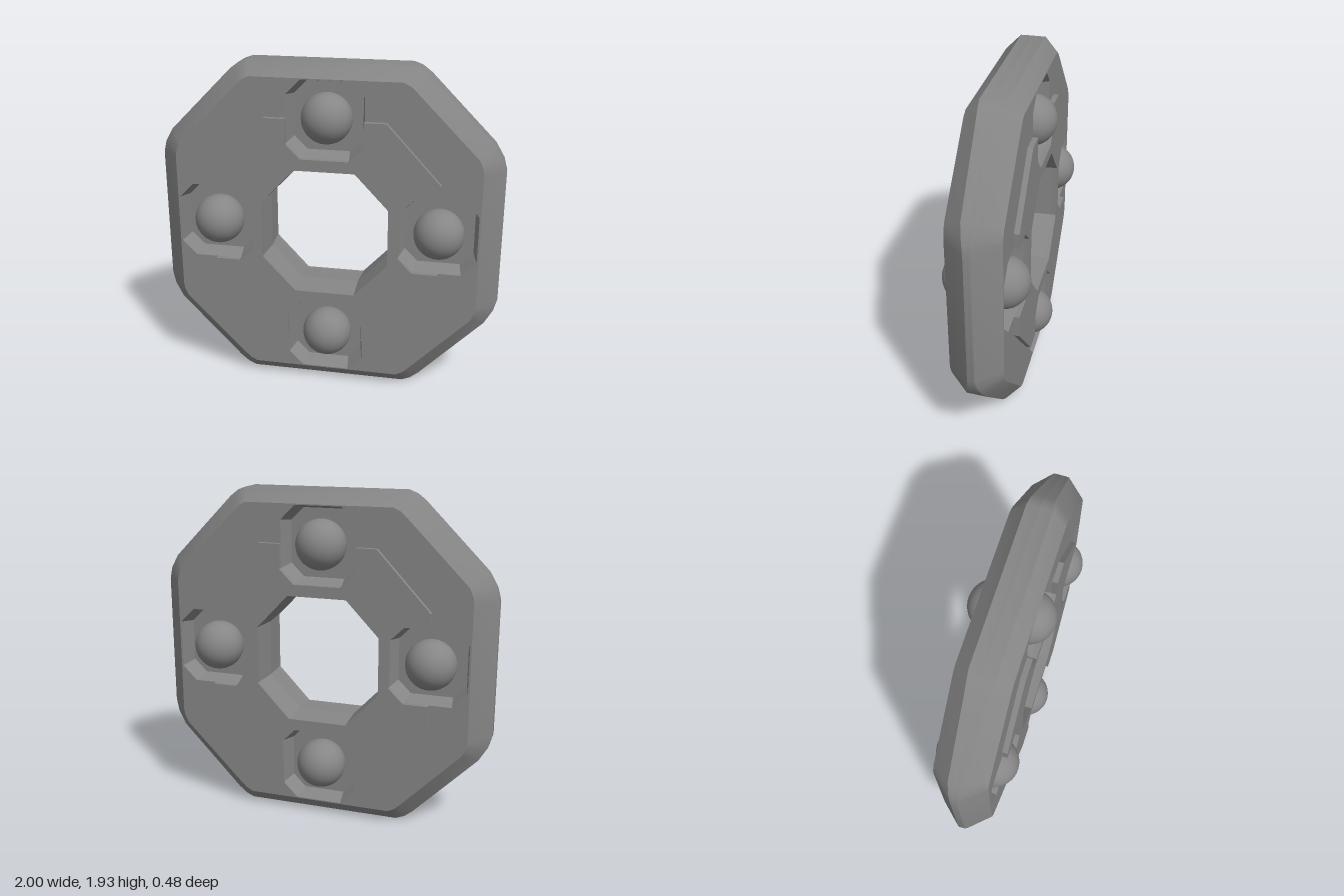
import * as THREE from 'three';
import { toCreasedNormals } from 'three/addons/utils/BufferGeometryUtils.js';

const material = new THREE.MeshStandardMaterial({ color: 0x868686 });

// Mirror the points of one quadrant (from +x round to +y) into a full loop
function mirrorQuadrant(q) {
  const r = [...q].reverse();
  return [
    ...q,
    ...r.map(([x, y, z]) => [-x, y, z]),
    ...q.map(([x, y, z]) => [-x, -y, z]),
    ...r.map(([x, y, z]) => [x, -y, z]),
  ];
}

const atZ = (loop, z) => loop.map(([x, y]) => [x, y, z]);
const octagon = (half, cut, cx, cy) =>
  mirrorQuadrant([[half, half - cut], [half - cut, half]]).map(([x, y]) => [x + cx, y + cy]);

// Join successive loops, listed from front to back; inward walls face the axis
function loft(loops, inward = false) {
  const pos = [];
  for (let k = 0; k + 1 < loops.length; k++) {
    const a = loops[k], b = loops[k + 1];
    for (let i = 0; i < a.length; i++) {
      const j = (i + 1) % a.length;
      const quad = [b[i], b[j], a[j], b[i], a[j], a[i]];
      if (inward) quad.reverse();
      quad.forEach((p) => pos.push(...p));
    }
  }
  const g = new THREE.BufferGeometry();
  g.setAttribute('position', new THREE.Float32BufferAttribute(pos, 3));
  g.computeVertexNormals();
  return g;
}

function makeShape(loop, holes = []) {
  const vec = (l) => l.map(([x, y]) => new THREE.Vector2(x, y));
  const s = new THREE.Shape(vec(loop));
  holes.forEach((h) => s.holes.push(new THREE.Path(vec(h))));
  return s;
}

function addMesh(parent, name, geometry) {
  const m = new THREE.Mesh(geometry, material);
  m.name = name;
  parent.add(m);
  return m;
}

const SIDE_SHIFT = 0.02; // side sockets sit slightly above the middle
const SOCKETS = [[0.648, SIDE_SHIFT], [0, 0.66], [-0.648, SIDE_SHIFT], [0, -0.66]];
const FACE_Z = 0.15, FLOOR_Z = 0.04;

function buildHalf() {
  const half = new THREE.Group();

  // Outlines: widest rim, edge of the flat face, and the central opening
  const rim = mirrorQuadrant([
    [1, 0.39, 0.02], [0.98, 0.46, 0.03], [0.93, 0.54, 0.045], [0.56, 0.91, 0.06],
    [0.51, 0.947, 0.065], [0.46, 0.965, 0.07],
  ]);
  const face = mirrorQuadrant([
    [0.88, 0.4], [0.876, 0.43], [0.855, 0.48], [0.5, 0.84], [0.47, 0.868], [0.43, 0.888],
  ]);
  const opening = mirrorQuadrant([[0.355, 0.165], [0.17, 0.36]]);
  const openingEdge = mirrorQuadrant([[0.367, 0.168], [0.174, 0.371]]);
  const sockets = SOCKETS.map(([x, y]) => octagon(0.222, 0.085, x, y));

  // Outer rim with its bevel, softened round the corners
  addMesh(half, 'outerRim', toCreasedNormals(loft([atZ(face, FACE_Z), rim, atZ(rim, 0)]), 0.6));

  // Flat face pierced by the opening and sockets
  const faceGeo = new THREE.ShapeGeometry(makeShape(face, [openingEdge, ...sockets]));
  addMesh(half, 'face', faceGeo).position.z = FACE_Z;

  // Wall of the central opening
  addMesh(half, 'openingWall',
    loft([atZ(openingEdge, FACE_Z), atZ(opening, 0)], true));

  // Raised inner plate, notched around each socket
  const plate = mirrorQuadrant([
    [0.426, 0.137], [0.511, 0.222], [0.655, 0.222], [0.655, 0.33],
    [0.345, 0.665], [0.222, 0.665], [0.222, 0.523], [0.137, 0.438],
  ]).map(([x, y]) => [x, Math.abs(x) > 0.4 && Math.abs(y) < 0.25 ? y + SIDE_SHIFT : y]);
  const plateGeo = new THREE.ExtrudeGeometry(makeShape(plate, [openingEdge]), {
    depth: 0.03, bevelEnabled: false,
  });
  addMesh(half, 'raisedPlate', plateGeo).position.z = FACE_Z;

  // Octagonal sockets, each holding a ball
  SOCKETS.forEach(([x, y], i) => {
    const floor = octagon(0.198, 0.075, x, y);
    addMesh(half, 'socketWall', loft([atZ(sockets[i], FACE_Z), atZ(floor, FLOOR_Z)], true));
    addMesh(half, 'socketFloor', new THREE.ShapeGeometry(makeShape(floor))).position.z = FLOOR_Z;
    const ball = addMesh(half, 'ball', new THREE.SphereGeometry(0.145, 40, 24));
    ball.position.set(x, y, 0.095);
  });
  return half;
}

export function createModel() {
  const model = new THREE.Group();
  model.name = 'octagonalRing';
  const front = buildHalf();
  front.name = 'frontHalf';
  const back = front.clone();
  back.name = 'backHalf';
  back.rotation.y = Math.PI;
  model.add(front, back);
  model.position.y = 0.965;
  return model;
}
